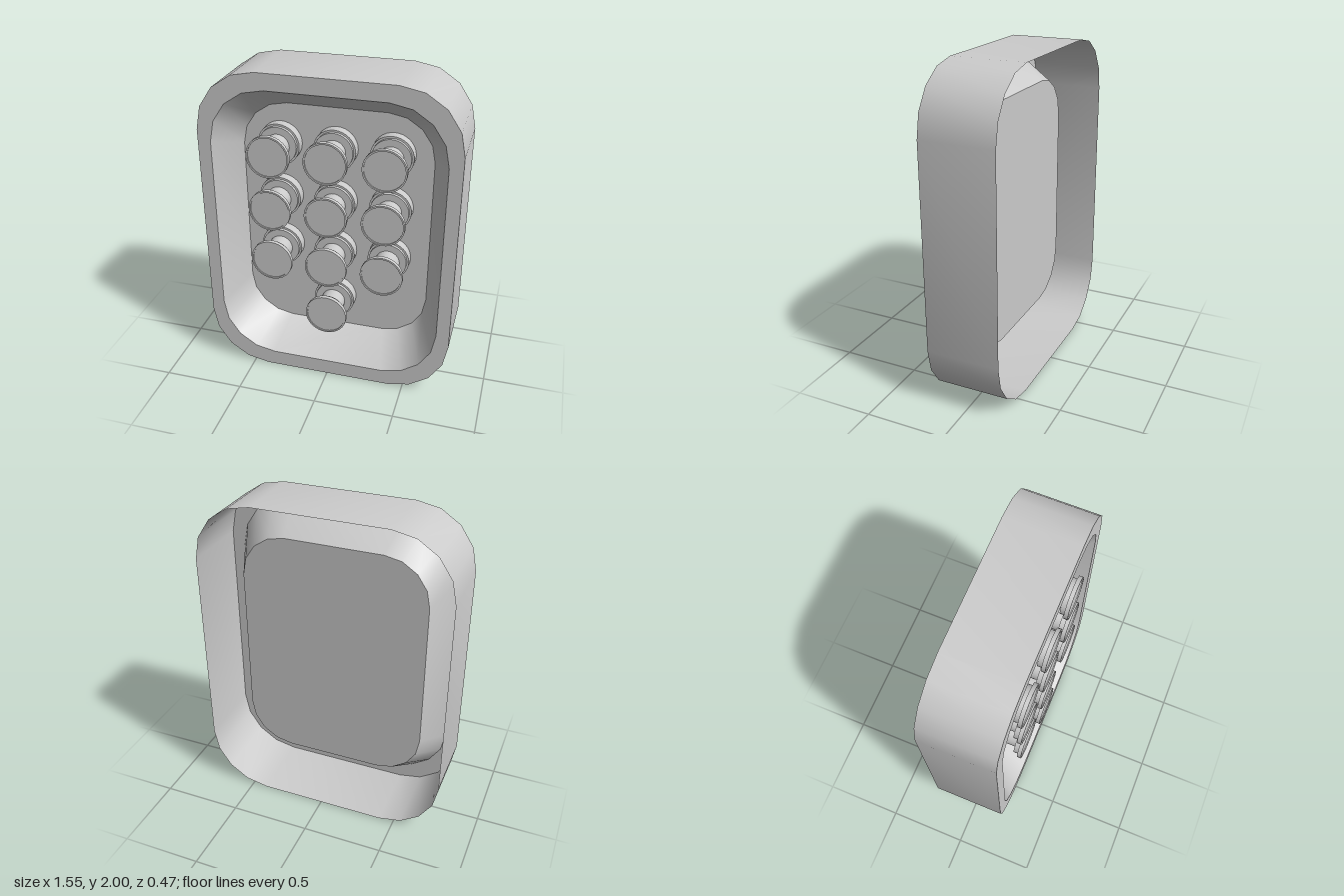
import * as THREE from 'three';
import { toCreasedNormals } from 'three/addons/utils/BufferGeometryUtils.js';

const material = new THREE.MeshStandardMaterial({ color: 0xcccccc, side: THREE.DoubleSide });

// Rounded rectangle loop, counter-clockwise seen from the front
function roundedLoop(halfW, halfH, radius, z, steps = 4) {
  const points = [];
  const corners = [[1, 1], [-1, 1], [-1, -1], [1, -1]];
  corners.forEach(([sx, sy], q) => {
    for (let i = 0; i <= steps; i++) {
      const a = (q + i / steps) * Math.PI / 2;
      points.push([
        sx * (halfW - radius) + radius * Math.cos(a),
        1 + sy * (halfH - radius) + radius * Math.sin(a),
        z,
      ]);
    }
  });
  return points;
}

// Skin joining consecutive loops, optionally closed by a flat cap on the last one
function skin(loops, capped) {
  const n = loops[0].length;
  const index = [];
  for (let k = 0; k < loops.length - 1; k++) {
    for (let i = 0; i < n; i++) {
      const j = (i + 1) % n;
      const a = k * n + i, b = k * n + j, c = b + n, d = a + n;
      index.push(a, b, c, a, c, d);
    }
  }
  if (capped) {
    const base = (loops.length - 1) * n;
    for (let i = 1; i < n - 1; i++) index.push(base, base + i, base + i + 1);
  }
  const geometry = new THREE.BufferGeometry();
  geometry.setAttribute('position', new THREE.Float32BufferAttribute(loops.flat(2), 3));
  geometry.setIndex(index);
  return toCreasedNormals(geometry, 0.6);
}

function addMesh(parent, name, geometry) {
  const mesh = new THREE.Mesh(geometry, material);
  mesh.name = name;
  parent.add(mesh);
  return mesh;
}

export function createModel() {
  const model = new THREE.Group();
  model.name = 'keypad';

  const back = -0.235, front = 0.218, floor = -0.025;
  const outerBack = roundedLoop(0.775, 1, 0.37, back);
  const outerFront = roundedLoop(0.775, 1, 0.37, front);
  const rimInner = roundedLoop(0.695, 0.9, 0.34, front);
  const panelEdge = roundedLoop(0.585, 0.752, 0.28, floor);

  // Housing: outer wall open at the back, flat rim, sloping inner wall
  addMesh(model, 'housing', skin([outerBack, outerFront, rimInner, panelEdge], false));
  // Recessed panel carrying the buttons
  addMesh(model, 'panel', skin([panelEdge], true));

  // Button: wide base, narrow stem and a lipped cap, turned about its axis
  const profile = [
    [0.13, floor], [0.13, 0.035], [0.118, 0.035], [0.118, 0.055],
    [0.075, 0.055], [0.075, 0.18], [0.11, 0.18], [0.11, 0.21],
    [0.13, 0.21], [0.13, 0.235], [0.12, 0.235], [0.12, 0.228], [0, 0.228],
  ].map(([r, z]) => new THREE.Vector2(r, z));
  const buttonGeometry = toCreasedNormals(
    new THREE.LatheGeometry(profile, 32).rotateX(Math.PI / 2), 0.6);

  // Three rows of three buttons and a single one below
  const buttons = new THREE.Group();
  buttons.name = 'buttons';
  model.add(buttons);
  const pitch = 0.344;
  for (let row = 0; row < 4; row++) {
    for (const col of row < 3 ? [-1, 0, 1] : [0]) {
      addMesh(buttons, 'button', buttonGeometry)
        .position.set(col * pitch, 1.507 - row * pitch, 0);
    }
  }
  return model;
}
